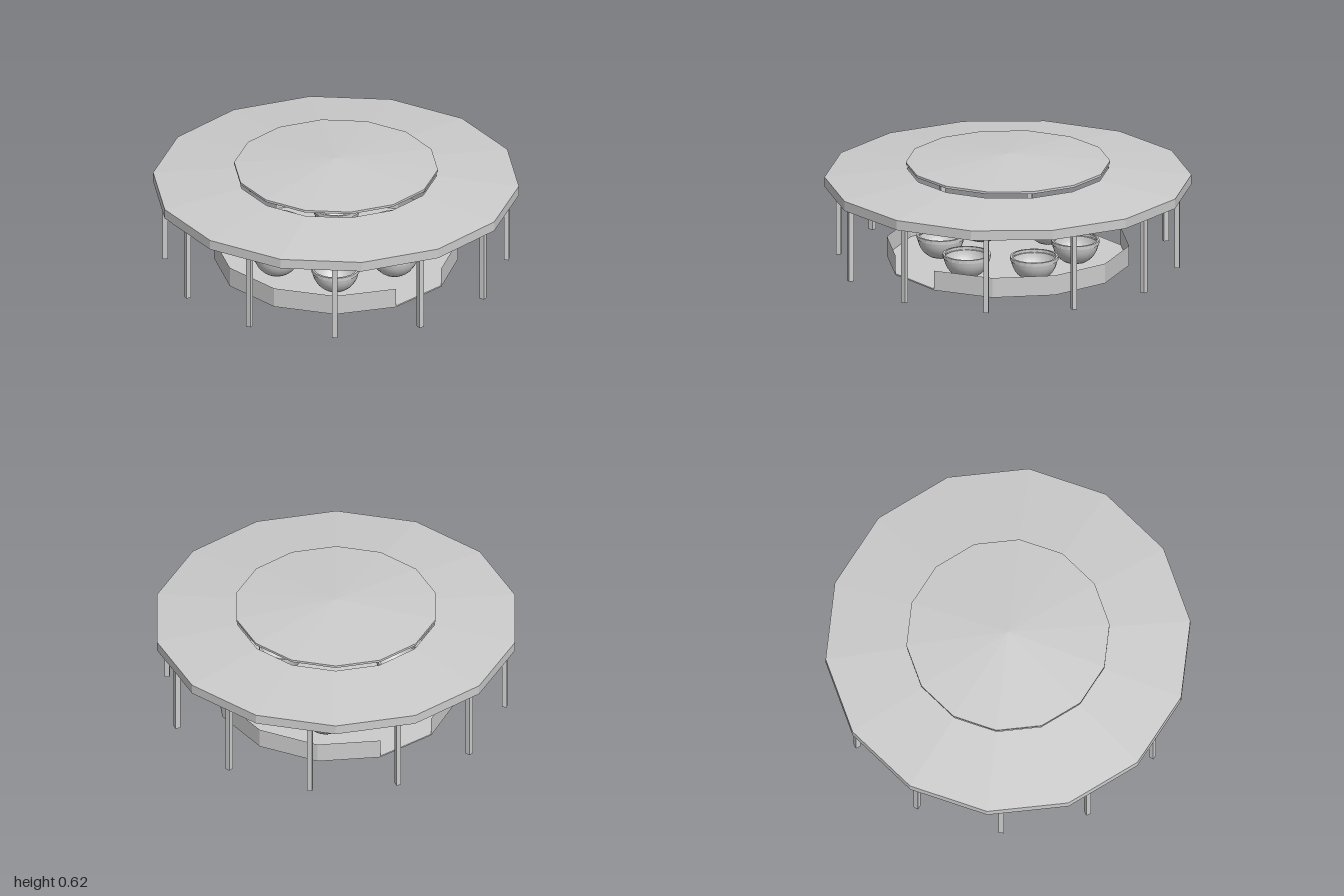
import * as THREE from 'three';

const flat = new THREE.MeshStandardMaterial({ color: 0xcccccc, flatShading: true, side: THREE.DoubleSide });
const smooth = new THREE.MeshStandardMaterial({ color: 0xcccccc, side: THREE.DoubleSide });

function add(parent, name, geometry, material = flat) {
  const mesh = new THREE.Mesh(geometry, material);
  mesh.name = name;
  parent.add(mesh);
  return mesh;
}

const lathe = (points, sides) =>
  new THREE.LatheGeometry(points.map(([r, y]) => new THREE.Vector2(r, y)), sides);

export function createModel() {
  const model = new THREE.Group();
  model.name = 'cupRidePavilion';

  // Fourteen-sided ring roof, tapering to a thin edge around its opening
  const canopy = add(model, 'canopy',
    lathe([[0.55, 0.525], [1, 0.43], [1, 0.485], [0.55, 0.53], [0.55, 0.525]], 14));
  // Raised cap floating over the opening
  const cap = add(model, 'roofCap',
    lathe([[0, 0.555], [0.557, 0.555], [0.557, 0.568], [0, 0.615]], 14));
  // Half a step of turn puts a corner on the x axis
  canopy.rotation.y = cap.rotation.y = Math.PI / 14;

  // Twelve square posts
  for (let i = 0; i < 12; i++) {
    const a = (i * Math.PI) / 6;
    const post = add(model, 'post', new THREE.BoxGeometry(0.028, 0.445, 0.028));
    post.position.set(0.93 * Math.sin(a), 0.2225, 0.93 * Math.cos(a));
    post.rotation.y = a;
  }

  // Twelve-sided floor
  const floor = add(model, 'floor', new THREE.CylinderGeometry(0.665, 0.665, 0.008, 12));
  floor.position.y = 0.004;

  // Two thin wall arcs leaving opposite entrances
  for (const start of [Math.PI / 2, 1.5 * Math.PI]) {
    const wall = add(model, 'wall',
      new THREE.CylinderGeometry(0.665, 0.665, 0.112, 5, 1, true, start, (5 * Math.PI) / 6));
    wall.position.y = 0.056;
  }

  // Six open cups in a ring: rounded bowl with a short lip
  const bowl = [[0, 0.016]];
  for (let i = 0; i <= 6; i++) {
    const t = THREE.MathUtils.lerp(1.05, 0.08, i / 6);
    bowl.push([0.128 * Math.cos(t), 0.127 - 0.128 * Math.sin(t)]);
  }
  const bowlGeometry = lathe(bowl, 20);
  const lipGeometry = lathe([[0.12, 0.116], [0.132, 0.116], [0.132, 0.136], [0.12, 0.136]], 20);
  for (let i = 0; i < 6; i++) {
    const a = (i * Math.PI) / 3;
    const cup = new THREE.Group();
    cup.name = 'cup';
    add(cup, 'bowl', bowlGeometry, smooth);
    add(cup, 'lip', lipGeometry);
    cup.position.set(0.37 * Math.cos(a), 0, 0.37 * Math.sin(a));
    model.add(cup);
  }

  return model;
}
